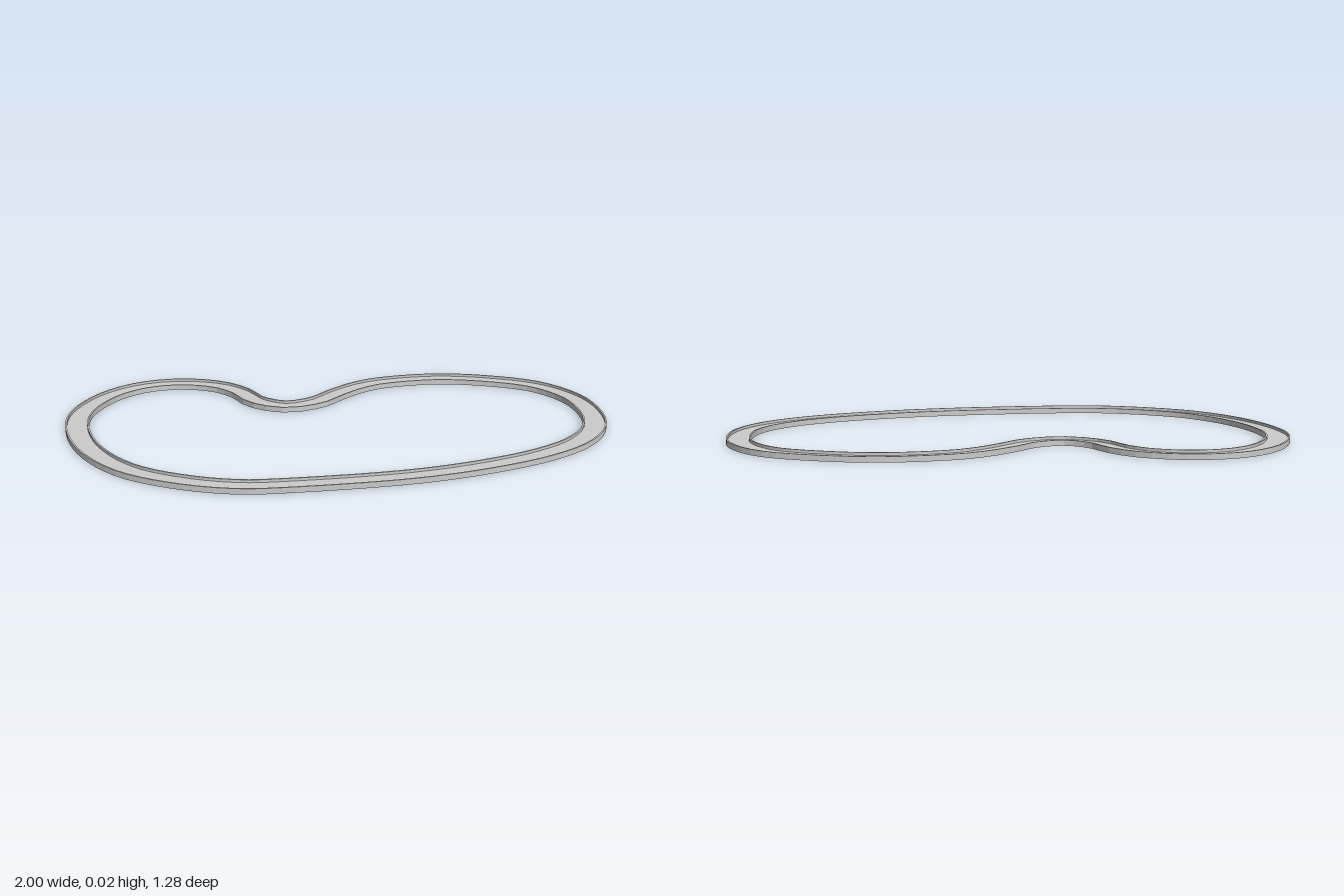
import * as THREE from 'three';

const STEPS = 104;

// Centre line of the track in plan, as x, z pairs
const PATH = [
  [-0.957, -0.093], [-0.932, -0.236], [-0.866, -0.374], [-0.76, -0.472], [-0.617, -0.511],
  [-0.47, -0.476], [-0.382, -0.4], [-0.307, -0.286], [-0.195, -0.233], [-0.083, -0.283],
  [0.0, -0.39], [0.08, -0.478], [0.17, -0.538], [0.404, -0.596], [0.63, -0.565], [0.793, -0.494],
  [0.916, -0.334], [0.957, -0.104], [0.925, 0.045], [0.845, 0.172], [0.725, 0.278],
  [0.602, 0.354], [0.404, 0.446], [0.201, 0.511], [-0.147, 0.58], [-0.291, 0.595],
  [-0.46, 0.567], [-0.655, 0.482], [-0.77, 0.38], [-0.872, 0.227], [-0.936, 0.056],
];

// Cross-section: shallow channel with a thin kerb on each side, as outward offset and height
const HALF = 0.0425, KERB = 0.006, TOP = 0.02, FLOOR = 0.01;
const PROFILE = [
  [HALF, 0], [HALF, TOP], [HALF - KERB, TOP], [HALF - KERB, FLOOR],
  [KERB - HALF, FLOOR], [KERB - HALF, TOP], [-HALF, TOP], [-HALF, 0],
];

// Sweep a closed cross-section round a closed flat curve
function sweepLoop(curve, profile, steps) {
  const positions = [], index = [], n = profile.length;
  for (let i = 0; i < steps; i++) {
    const p = curve.getPointAt(i / steps);
    const t = curve.getTangentAt(i / steps);
    const next = (i + 1) % steps;
    profile.forEach(([offset, y], j) => {
      positions.push(p.x + t.z * offset, y, p.z - t.x * offset);
      const k = (j + 1) % n;
      const a = i * n + j, b = i * n + k, c = next * n + k, d = next * n + j;
      index.push(a, b, d, b, c, d);
    });
  }
  const indexed = new THREE.BufferGeometry();
  indexed.setAttribute('position', new THREE.Float32BufferAttribute(positions, 3));
  indexed.setIndex(index);
  const geometry = indexed.toNonIndexed();
  geometry.computeVertexNormals();
  return geometry;
}

export function createModel() {
  const group = new THREE.Group();
  group.name = 'curvedRing';

  // Track: one closed band with raised kerbs
  const curve = new THREE.CatmullRomCurve3(
    PATH.map(([x, z]) => new THREE.Vector3(x, 0, z)), true, 'centripetal');
  const track = new THREE.Mesh(sweepLoop(curve, PROFILE, STEPS),
    new THREE.MeshStandardMaterial({ color: 0xcccccc, flatShading: true }));
  track.name = 'track';
  group.add(track);
  return group;
}
